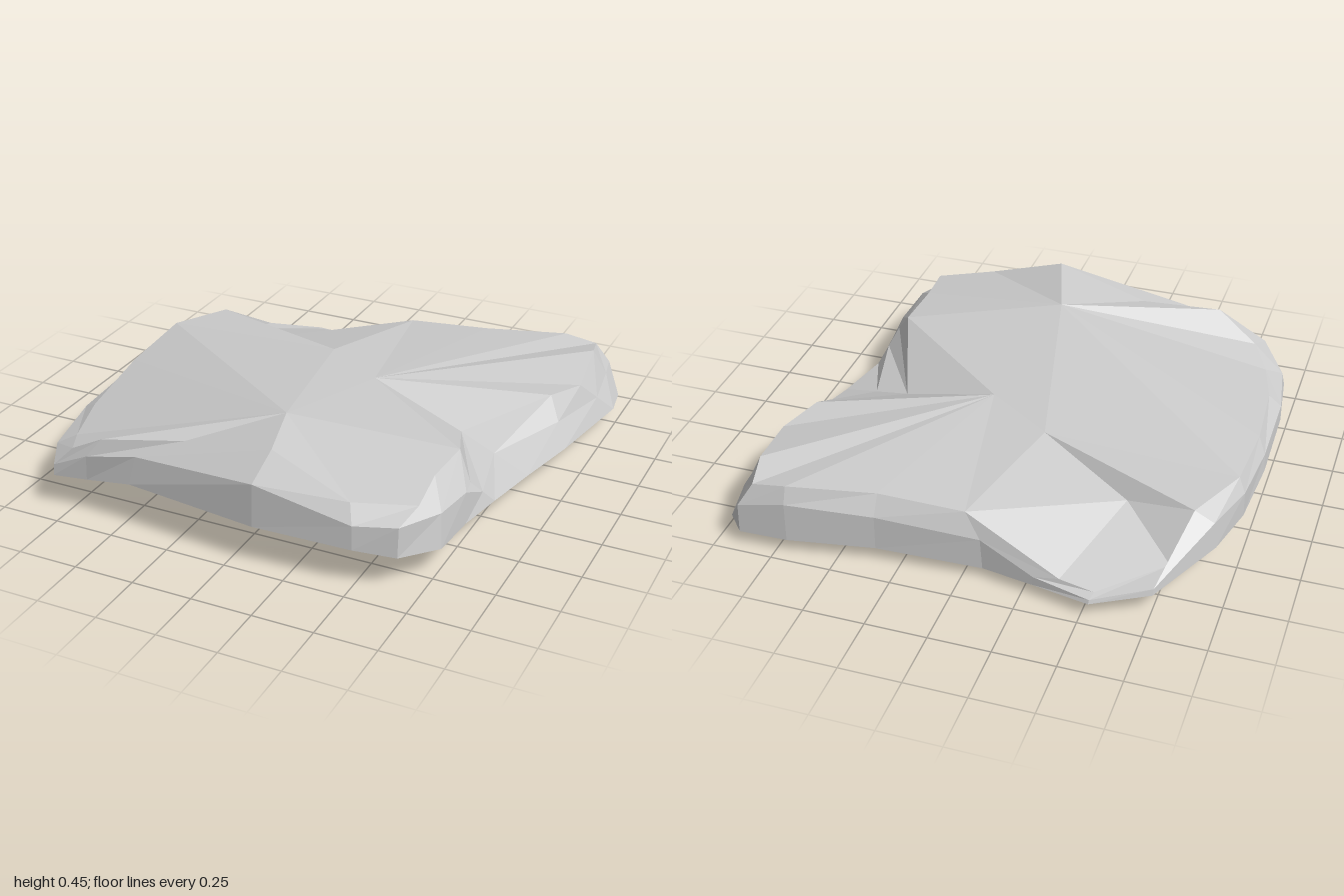
import * as THREE from 'three';

// Widest outline of the slab, clockwise from the front right-hand corner (x, y, z)
const rim = [
  [-.82, .14, .90], [-.95, .10, .70], [-.99, .11, .40], [-1, .12, 0], [-.98, .12, -.32],
  [-.92, .11, -.54], [-.75, .075, -.85], [-.53, .06, -.955], [-.29, .05, -.90], [-.08, .045, -.86],
  [.35, .06, -.89], [.70, .06, -.95], [.90, .06, -.955], [.97, .07, -.88], [1, .09, -.70],
  [.93, .10, -.25], [.87, .11, .05], [.82, .11, .29], [.78, .11, .50], [.77, .12, .72],
  [.66, .14, .88], [.50, .16, .93], [.10, .17, .955], [-.46, .19, .91], [-.67, .15, .89],
];

// Upper edge of the slab, one point above each rim point
const shoulder = [
  [-.79, .22, .80], [-.87, .19, .65], [-.93, .21, .42], [-.96, .25, .05], [-.95, .285, -.30],
  [-.83, .275, -.55], [-.78, .12, -.71], [-.54, .085, -.91], [-.40, .105, -.90], [0, .27, -.82],
  [.35, .29, -.84], [.70, .30, -.92], [.84, .28, -.92], [.87, .31, -.78], [.90, .27, -.51],
  [.83, .29, -.33], [.55, .20, -.03], [.76, .24, .41], [.69, .34, .35], [.68, .34, .58],
  [.70, .32, .78], [.47, .33, .88], [.13, .45, .84], [-.28, .36, .78], [-.61, .33, .86],
];

// Inner points of the top and the lowest point of the underside
const crown = [.03, .43, .52];
const ridge = [-.15, .32, -.29];
const saddle = [.13, .325, -.10];
const crevice = [-.55, .215, -.49];
const base = [.40, 0, .15];

function facetedMesh(name, triangles) {
  const geometry = new THREE.BufferGeometry();
  geometry.setAttribute('position', new THREE.Float32BufferAttribute(triangles.flat(2), 3));
  geometry.computeVertexNormals();
  const material = new THREE.MeshStandardMaterial({ color: 0xcccccc, flatShading: true });
  const mesh = new THREE.Mesh(geometry, material);
  mesh.name = name;
  return mesh;
}

// Triangles from one point to a clockwise chain of points
const fan = (p, chain) => chain.slice(1).map((q, k) => [p, q, chain[k]]);

// Band of faces between two closed loops
function band(low, high) {
  return low.flatMap((a, i) => {
    const j = (i + 1) % low.length;
    return [[low[j], a, high[i]], [low[j], high[i], high[j]]];
  });
}

export function createModel() {
  const group = new THREE.Group();
  group.name = 'rockSlab';

  // Steep middle of the sides, sloping straight along the notched side
  const middle = rim.map(([x, y, z], i) => {
    const [sx, sy, sz] = shoulder[i];
    const straight = i > 12 && i < 18;
    const up = straight ? 0.5 : 0.58 + 0.06 * (i % 3);
    const inward = straight ? 0.5 : 0.05 + 0.08 * (i % 2);
    return [x + (sx - x) * inward, y + (sy - y) * up, z + (sz - z) * inward];
  });

  // Edge of the shallow underside, set further back under the front
  const foot = rim.map(([x, , z]) => {
    const fx = x * 0.89, fz = z * (z > 0 ? 0.78 : 0.92);
    const y = Math.max(Math.abs(fx - 0.4) * 0.06, fz > 0.15 ? (fz - 0.15) * 0.1 : (0.15 - fz) * 0.02);
    return [fx, y, fz];
  });

  group.add(facetedMesh('sides', [...band(rim, middle), ...band(middle, shoulder)]));

  // Top: main slope, ridge, low back corner, far lobe and notch
  const s = shoulder;
  group.add(facetedMesh('top', [
    ...fan(crown, [...s.slice(18), ...s.slice(0, 5), ridge, saddle, s[18]]),
    ...fan(ridge, [s[4], s[5], crevice, s[9], saddle]),
    ...fan(crevice, s.slice(5, 10)),
    ...fan(saddle, s.slice(9, 17)),
    ...fan(s[16], [s[17], s[18], saddle]),
  ]));

  // Underside: chamfer and shallow bottom
  const bottom = foot.map((p, i) => [base, p, foot[(i + 1) % foot.length]]);
  group.add(facetedMesh('underside', [...band(foot, rim), ...bottom]));

  return group;
}
